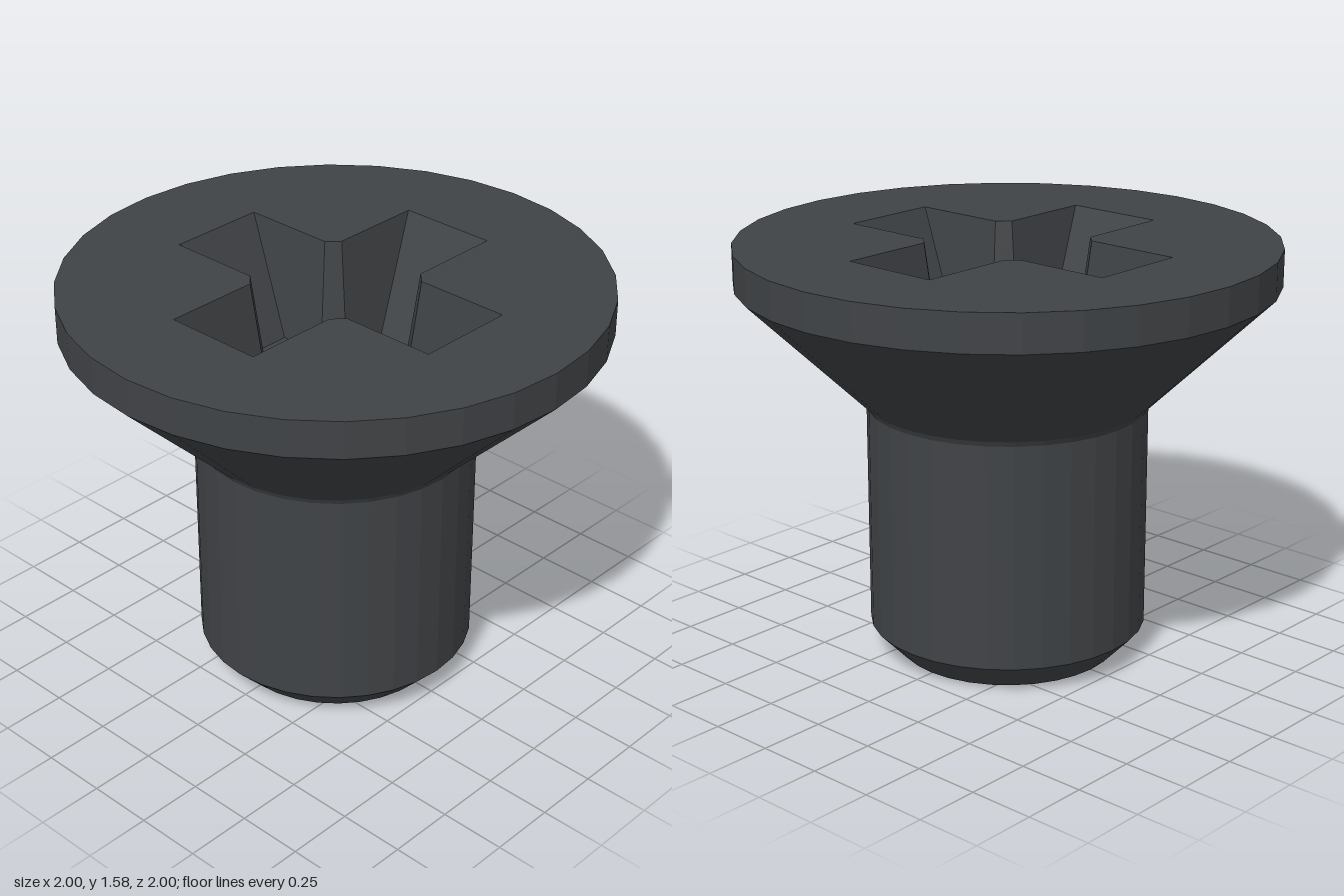
import * as THREE from 'three';

const SIDES = 32;
const TOP = 1.58;      // height of the head face
const FLOOR = 1.14;    // height of the recess floor
const PIT_R = 0.245;   // radius of the conical pit in the floor

// Cross outline, counter-clockwise: arm half width w, arm length l, chamfered inner corners at c
function crossPoints(w, l, c) {
  const points = [];
  for (let i = 0; i < 4; i++) {
    for (const [x, y] of [[c, -w], [l, -w], [l, w], [c, w]]) {
      points.push(new THREE.Vector2(x, y).rotateAround(new THREE.Vector2(), i * Math.PI / 2));
    }
  }
  return points;
}

function circlePoints(r) {
  return Array.from({ length: SIDES }, (_, i) => {
    const a = i / SIDES * Math.PI * 2;
    return new THREE.Vector2(r * Math.cos(a), r * Math.sin(a));
  });
}

// Flat upward-facing sheet with a hole
function sheet(outline, hole, y) {
  const shape = new THREE.Shape(outline);
  shape.holes.push(new THREE.Path(hole));
  return new THREE.ShapeGeometry(shape).rotateX(-Math.PI / 2).translate(0, y, 0);
}

// Inward-facing walls between two outlines
function walls(upper, lower, yUpper, yLower) {
  const pos = [];
  const n = upper.length;
  const put = (p, y) => pos.push(p.x, y, -p.y);
  for (let i = 0; i < n; i++) {
    const j = (i + 1) % n;
    put(upper[i], yUpper); put(upper[j], yUpper); put(lower[j], yLower);
    put(upper[i], yUpper); put(lower[j], yLower); put(lower[i], yLower);
  }
  const geo = new THREE.BufferGeometry();
  geo.setAttribute('position', new THREE.Float32BufferAttribute(pos, 3));
  geo.computeVertexNormals();
  return geo;
}

const lathe = (profile) =>
  new THREE.LatheGeometry(profile.map(([r, y]) => new THREE.Vector2(r, y)), SIDES);

export function createModel() {
  const group = new THREE.Group();
  group.name = 'countersunkScrew';
  const material = new THREE.MeshStandardMaterial({ color: 0x404346, flatShading: true });
  const add = (name, geometry) => {
    const mesh = new THREE.Mesh(geometry, material);
    mesh.name = name;
    group.add(mesh);
  };

  // Shank with chamfered tip
  add('shank', lathe([[0, 0], [0.42, 0], [0.525, 0.11], [0.525, 0.965]]));

  // Countersunk head with a small fillet at the neck and a straight rim
  add('head', lathe([[0.525, 0.965], [0.535, 0.985], [1, 1.44], [1, TOP]]));

  // Head face with tapered cross recess
  const mouth = crossPoints(0.193, 0.607, 0.237);
  const base = crossPoints(0.14, 0.4, 0.208);
  add('headFace', sheet(circlePoints(1), mouth, TOP));
  add('recessWalls', walls(mouth, base, TOP, FLOOR));
  add('recessFloor', sheet(base, circlePoints(PIT_R), FLOOR));
  add('recessPit', lathe([[PIT_R, FLOOR], [0, FLOOR - 0.1]]));

  return group;
}
